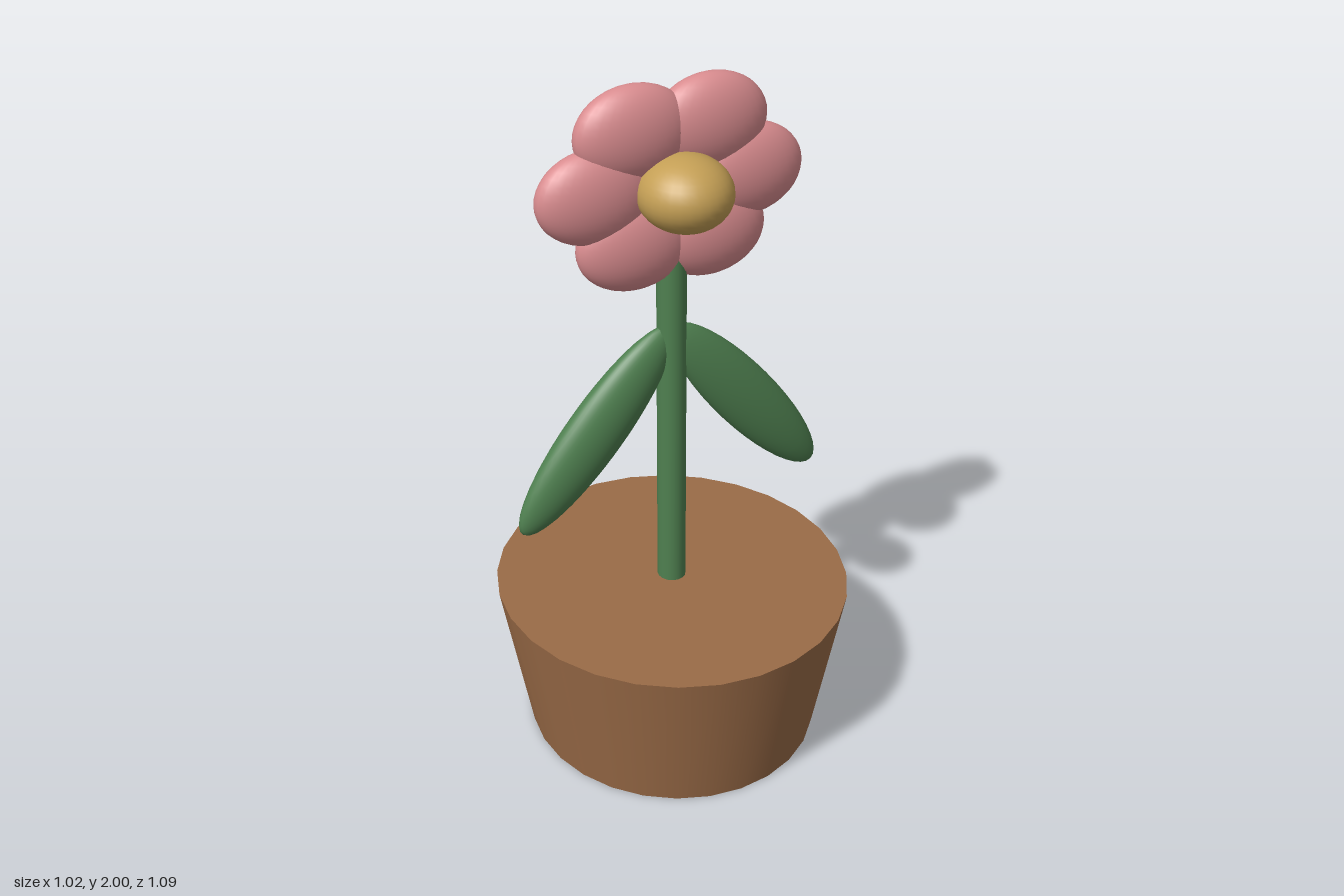
import * as THREE from 'three';

const material = (name, color) => {
  const m = new THREE.MeshStandardMaterial({ color });
  m.name = name;
  return m;
};

export function createModel() {
  const clay = material('clay brown', 0x9a6b47);
  const green = material('leaf green', 0x4f8050);
  const pink = material('petal pink', 0xd98c8f);
  const gold = material('pollen gold', 0xc49f55);

  const model = new THREE.Group();
  model.name = 'pottedFlower';

  const add = (name, geometry, mat, position, scale = [1, 1, 1], parent = model) => {
    const mesh = new THREE.Mesh(geometry, mat);
    mesh.name = name;
    mesh.position.set(...position);
    mesh.scale.set(...scale);
    parent.add(mesh);
    return mesh;
  };
  const ball = new THREE.SphereGeometry(1, 32, 20);

  // Tapered pot, slightly deeper than wide
  add('pot', new THREE.CylinderGeometry(0.512, 0.428, 0.48, 28), clay, [0, 0.24, 0], [1, 1, 1.06]);

  // Stem from the soil into the blossom
  add('stem', new THREE.CylinderGeometry(0.041, 0.041, 1.24, 16), green, [0, 1.1, 0], [1, 1, 1.06]);

  // Two drooping leaves
  for (const side of [1, -1]) {
    const leaf = add(side > 0 ? 'leftLeaf' : 'rightLeaf', ball, green,
      [side * 0.232, 1.025, 0], [0.357, 0.09, 0.054]);
    leaf.rotation.z = -side * THREE.MathUtils.degToRad(50);
  }

  // Blossom: six flat petals on an oval ring around a domed centre
  const blossom = new THREE.Group();
  blossom.name = 'blossom';
  blossom.position.y = 1.718;
  model.add(blossom);
  for (let i = 0; i < 6; i++) {
    const a = (i * Math.PI) / 3;
    add('petal', ball, pink, [0.22 * Math.cos(a), 0.176 * Math.sin(a), 0], [0.165, 0.13, 0.071], blossom);
  }
  add('flowerCentre', ball, gold, [0, 0, 0.078], [0.128, 0.102, 0.135], blossom);

  return model;
}
